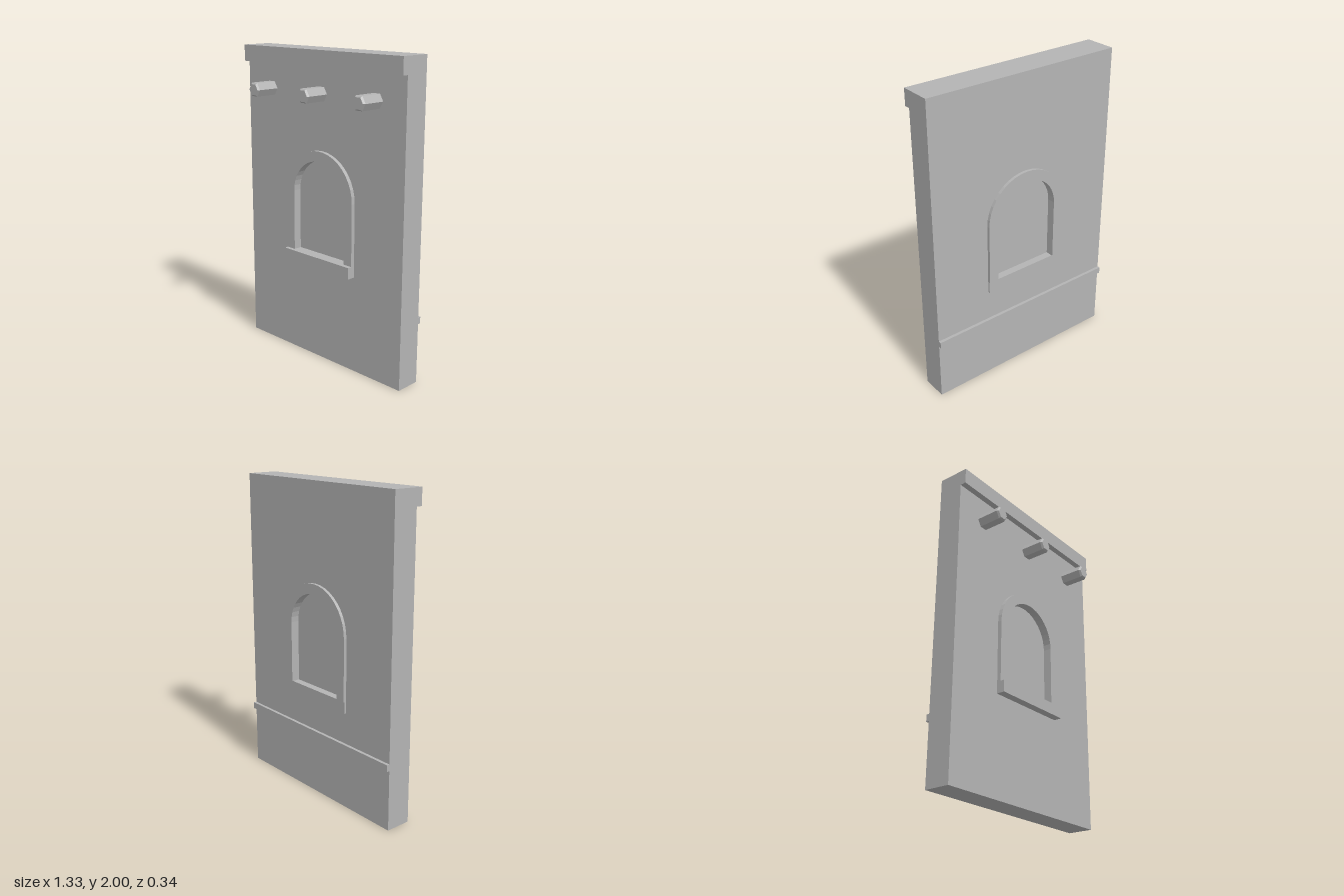
import * as THREE from 'three';

const HALF_W = 0.666, WALL_FRONT = 0.013, WALL_BACK = -0.152;
const ARCH_Y = 1.1, SILL_TOP = 0.705, OUTER_R = 0.285, INNER_R = 0.22;

// Round-headed outline standing on the sill
function archPath(PathType, r) {
  const p = new PathType();
  p.moveTo(-r, SILL_TOP);
  p.lineTo(r, SILL_TOP);
  p.lineTo(r, ARCH_Y);
  p.absarc(0, ARCH_Y, r, 0, Math.PI, false);
  p.lineTo(-r, SILL_TOP);
  return p;
}

// Band between the outer and inner arch, open at the bottom
function archBand() {
  const s = new THREE.Shape();
  s.moveTo(OUTER_R, SILL_TOP);
  s.lineTo(OUTER_R, ARCH_Y);
  s.absarc(0, ARCH_Y, OUTER_R, 0, Math.PI, false);
  s.lineTo(-OUTER_R, SILL_TOP);
  s.lineTo(-INNER_R, SILL_TOP);
  s.lineTo(-INNER_R, ARCH_Y);
  s.absarc(0, ARCH_Y, INNER_R, Math.PI, 0, true);
  s.lineTo(INNER_R, SILL_TOP);
  s.closePath();
  return s;
}

function slab(shape, z0, z1) {
  const g = new THREE.ExtrudeGeometry(shape, { depth: z1 - z0, bevelEnabled: false, curveSegments: 10 });
  return g.translate(0, 0, z0);
}

function block(halfW, y0, y1, z0, z1) {
  const g = new THREE.BoxGeometry(2 * halfW, y1 - y0, z1 - z0);
  return g.translate(0, (y0 + y1) / 2, (z0 + z1) / 2);
}

export function createModel() {
  const group = new THREE.Group();
  group.name = 'wallPanel';
  const stone = new THREE.MeshStandardMaterial({ color: 0xb4b4b4 });
  stone.name = 'grey stone';

  const add = (name, geometry) => {
    const mesh = new THREE.Mesh(geometry, stone);
    mesh.name = name;
    group.add(mesh);
    return mesh;
  };

  // Wall with an arched opening
  const wall = new THREE.Shape();
  wall.moveTo(-HALF_W, 0);
  wall.lineTo(HALF_W, 0);
  wall.lineTo(HALF_W, 2);
  wall.lineTo(-HALF_W, 2);
  wall.closePath();
  wall.holes.push(archPath(THREE.Path, INNER_R));
  add('wall', slab(wall, WALL_BACK, WALL_FRONT));

  // Recessed panel that closes the opening
  add('windowPanel', slab(archPath(THREE.Shape, INNER_R), -0.117, -0.015));

  // Frames and sills on both faces
  add('frontFrame', slab(archBand(), WALL_FRONT, 0.039));
  add('backFrame', slab(archBand(), -0.172, WALL_BACK));
  add('frontSill', block(OUTER_R, 0.63, SILL_TOP, WALL_FRONT, 0.066));
  add('backSill', block(OUTER_R, 0.63, SILL_TOP, -0.166, WALL_BACK));

  // Ledge along the top front and thin string course on the back
  add('topLedge', block(HALF_W, 1.896, 2, WALL_FRONT, 0.052));
  add('backStrip', block(HALF_W, 0.386, 0.429, -0.172, WALL_BACK));

  // Hexagonal beam ends with a chamfered tip
  const profile = [[0.049, 0], [0.049, 0.147], [0.039, 0.159], [0, 0.159]]
    .map(([r, y]) => new THREE.Vector2(r, y));
  const flat = new THREE.LatheGeometry(profile, 6).toNonIndexed();
  flat.computeVertexNormals();
  flat.rotateX(Math.PI / 2).rotateZ(Math.PI / 2); // corners point sideways
  ['rightBeam', 'middleBeam', 'leftBeam'].forEach((name, i) => {
    add(name, flat).position.set((i - 1) * 0.445, 1.736, WALL_FRONT);
  });

  return group;
}
